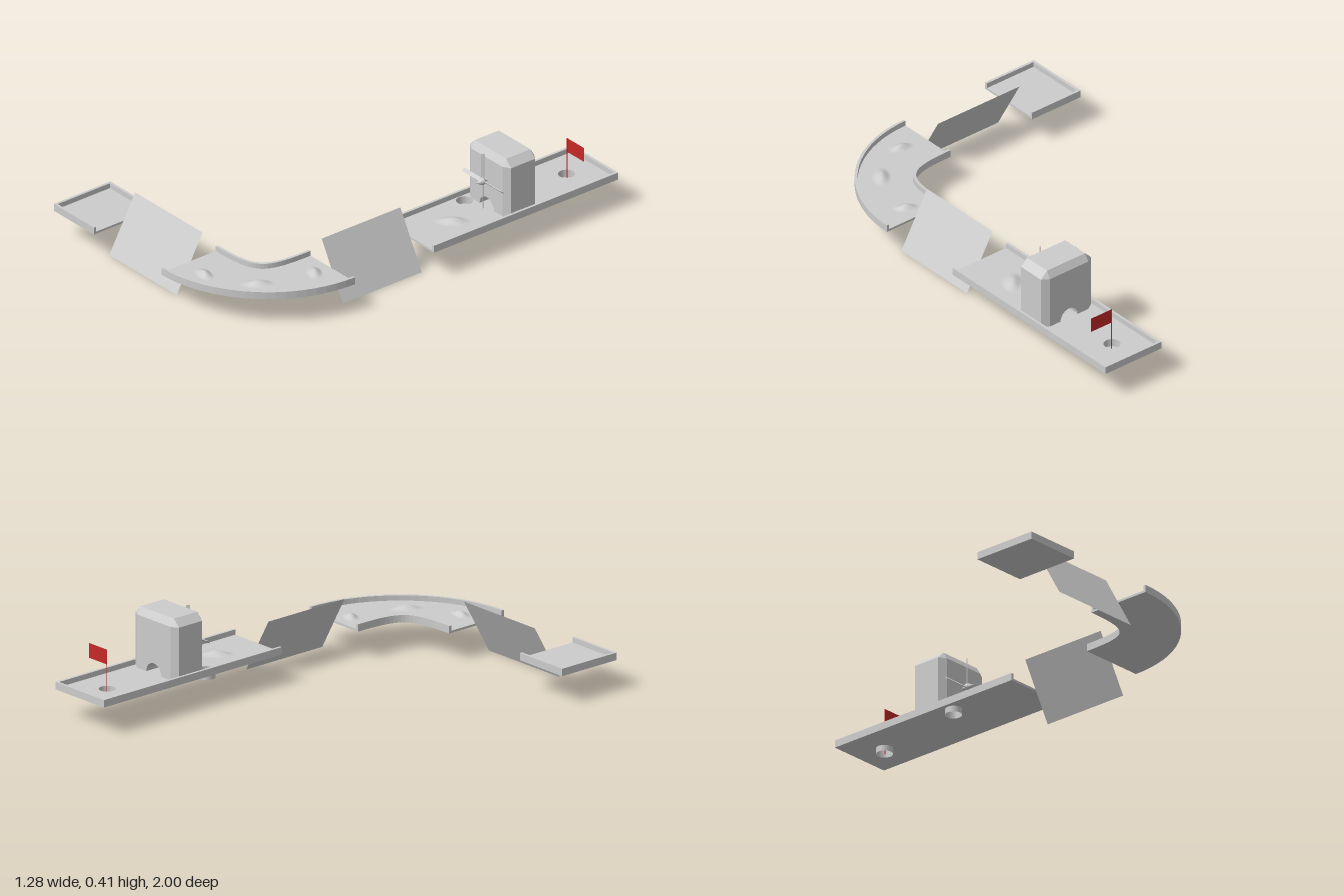
import * as THREE from 'three';
import { mergeGeometries } from 'three/addons/utils/BufferGeometryUtils.js';

const BOTTOM = 0.127, FLOOR = 0.137, RIM = 0.16, WALL = 0.012;

export function createModel() {
  const root = new THREE.Group();
  const stone = new THREE.MeshStandardMaterial({ color: 0xcccccc, flatShading: true });
  stone.name = 'lightGrey';
  const smoothGrey = stone; // one colour throughout the course
  const red = new THREE.MeshStandardMaterial({ color: 0xc62828, side: THREE.DoubleSide });
  red.name = 'flagRed';
  const sheet = new THREE.MeshStandardMaterial({ color: 0xcccccc, side: THREE.DoubleSide });
  sheet.name = 'sheetGrey';

  const add = (name, geo, mat = stone, parent = root) => {
    const m = new THREE.Mesh(geo, mat);
    m.name = name;
    parent.add(m);
    return m;
  };
  // Box given by its limits
  const block = (name, x0, x1, y0, y1, z0, z1) => {
    const m = add(name, new THREE.BoxGeometry(x1 - x0, y1 - y0, z1 - z0));
    m.position.set((x0 + x1) / 2, (y0 + y1) / 2, (z0 + z1) / 2);
    return m;
  };
  // Plan shape (x, z) raised from y0 to y1
  const slab = (name, shape, y0, y1) => {
    const g = new THREE.ExtrudeGeometry(shape, { depth: y1 - y0, bevelEnabled: false, curveSegments: 20 });
    g.rotateX(Math.PI / 2).translate(0, y1, 0);
    return add(name, g);
  };

  // Tee platform, open toward +x
  block('teeFloor', -0.645, -0.38, BOTTOM, FLOOR, 0.69, 0.995);
  block('teeEndWall', -0.645, -0.645 + WALL, BOTTOM, RIM, 0.69, 0.995);
  block('teeBackWall', -0.645 + WALL, -0.38, BOTTOM, RIM, 0.69, 0.69 + WALL);
  block('teeFrontWall', -0.645 + WALL, -0.38, BOTTOM, RIM, 0.995 - WALL, 0.995);

  // Curved platform: every edge is a bend toward a corner (cx, cz)
  const X0 = 0.065, Z0 = 0.42;
  const bandShape = (inner, outer) => {
    const s = new THREE.Shape();
    const [ix, iz, ik] = inner, [ox, oz, ok] = outer;
    s.moveTo(ix, Z0);
    s.bezierCurveTo(ix, Z0 + (iz - Z0) * ik, X0 + (ix - X0) * ik, iz, X0, iz);
    s.lineTo(X0, oz);
    s.bezierCurveTo(X0 + (ox - X0) * ok, oz, ox, Z0 + (oz - Z0) * ok, ox, Z0);
    s.closePath();
    return s;
  };
  const inK = 0.89, outK = 0.552;
  const inEdge = [0.335, 0.69, inK], outEdge = [0.64, 0.995, outK];
  const inLip = [0.335 + WALL, 0.69 + WALL, inK], outLip = [0.64 - WALL, 0.995 - WALL, outK];
  slab('curveFloor', bandShape(inEdge, outEdge), BOTTOM, FLOOR);
  slab('curveInnerWall', bandShape(inEdge, inLip), BOTTOM, RIM);
  slab('curveOuterWall', bandShape(outLip, outEdge), BOTTOM, RIM);

  // Final fairway with two cup holes
  const cups = [[0.48, -0.852], [0.387, -0.378]];
  const cupR = 0.036;
  const fairway = new THREE.Shape([[0.335, -1], [0.64, -1], [0.64, -0.005], [0.335, -0.005]]
    .map(p => new THREE.Vector2(...p)));
  for (const [x, z] of cups) {
    fairway.holes.push(new THREE.Path().absarc(x, z, cupR, 0, Math.PI * 2, true));
  }
  slab('fairwayFloor', fairway, BOTTOM, FLOOR);
  block('fairwayRightWall', 0.335, 0.335 + WALL, BOTTOM, RIM, -1, -0.005);
  block('fairwayLeftWall', 0.64 - WALL, 0.64, BOTTOM, RIM, -1, -0.005);
  block('fairwayEndWall', 0.335 + WALL, 0.64 - WALL, BOTTOM, RIM, -1, -1 + WALL);
  for (const [x, z] of cups) {
    const h = FLOOR - 0.101;
    add('cupWall', new THREE.CylinderGeometry(cupR, cupR, h, 32, 1, true), sheet)
      .position.set(x, 0.101 + h / 2, z);
    add('cupBottom', new THREE.CircleGeometry(cupR, 32).rotateX(-Math.PI / 2))
      .position.set(x, 0.102, z);
  }

  // Smooth mounds on the greens: x, z, half length, half width, heading
  const bump = [];
  for (let i = 0; i <= 10; i++) {
    bump.push(new THREE.Vector2(1 - i / 10, 0.5 - 0.5 * Math.cos(Math.PI * i / 10)));
  }
  const mounds = [[0.19, 0.865, 0.06, 0.035, -0.2], [0.395, 0.745, 0.075, 0.04, 0.9],
    [0.47, 0.5, 0.06, 0.035, -0.5], [0.495, -0.226, 0.08, 0.045, 0.8]];
  for (const [x, z, a, b, turn] of mounds) {
    const m = add('mound', new THREE.LatheGeometry(bump, 28), sheet);
    m.scale.set(a, 0.017, b);
    m.rotation.y = turn;
    m.position.set(x, FLOOR, z);
  }

  // Tilted ramp sheets between the platforms
  const ramp = (name, length) => add(name, new THREE.PlaneGeometry(length, Math.hypot(0.14, 0.25)), sheet);
  const lean = Math.atan2(0.14, 0.25);
  const first = ramp('firstRamp', 0.445);
  first.position.set(-0.158, 0.125, 0.842);
  first.rotation.x = -lean;
  const second = ramp('secondRamp', 0.425);
  second.position.set(0.49, 0.125, 0.208);
  second.rotation.set(-lean, Math.PI / 2, 0, 'YXZ');

  // Windmill house: chamfered block with an arched tunnel
  const mill = new THREE.Group();
  mill.name = 'windmill';
  mill.position.set(0.489, 0, -0.499);
  root.add(mill);
  const arch = [];
  for (let i = 0; i <= 12; i++) {
    const t = Math.PI * (1 - i / 12);
    arch.push([0.047 * Math.cos(t), FLOOR + 0.047 * Math.sin(t)]);
  }
  const W = 0.136, w = 0.104, T = 0.405, t = 0.373;
  const full = [...arch, [W, FLOOR], [W, t], [w, T], [-w, T], [-W, t], [-W, FLOOR]];
  const inset = [...arch, [w, FLOOR], [w, t], [w, t], [-w, t], [-w, t], [-w, FLOOR]];
  const sections = [[inset, -0.085], [full, -0.065], [full, 0.065], [inset, 0.085]];
  const pos = [];
  const n = full.length;
  for (let s = 0; s < 3; s++) {
    const at = (k, i) => [...sections[k][0][i % n], sections[k][1]];
    for (let i = 0; i < n; i++) {
      const a = at(s, i), b = at(s, i + 1), c = at(s + 1, i + 1), d = at(s + 1, i);
      pos.push(...a, ...b, ...c, ...a, ...c, ...d);
    }
  }
  const shell = new THREE.BufferGeometry();
  shell.setAttribute('position', new THREE.Float32BufferAttribute(pos, 3));
  shell.computeVertexNormals();
  const face = new THREE.Shape([...arch, [w, FLOOR], [w, t], [-w, t], [-w, FLOOR]]
    .map(p => new THREE.Vector2(...p)));
  const cap = () => {
    const g = new THREE.ShapeGeometry(face).toNonIndexed().translate(0, 0, 0.085);
    g.deleteAttribute('uv');
    return g;
  };
  add('millHouse', mergeGeometries([shell, cap(), cap().rotateY(Math.PI)]), stone, mill);

  // Four pitched sails around a pointed hub
  const sails = new THREE.Group();
  sails.name = 'sails';
  sails.position.set(-0.001, 0.268, 0.105);
  mill.add(sails);
  for (let i = 0; i < 4; i++) {
    const arm = new THREE.Group();
    arm.name = 'sailArm';
    arm.rotation.z = i * Math.PI / 2;
    sails.add(arm);
    const blade = add('sail', new THREE.BoxGeometry(0.017, 0.122, 0.003), stone, arm);
    blade.position.y = 0.069;
    blade.rotation.y = 0.75;
  }
  const axle = add('axle', new THREE.CylinderGeometry(0.007, 0.007, 0.025, 12), stone, sails);
  axle.rotation.x = Math.PI / 2;
  axle.position.z = -0.01;
  const hub = [[0, -0.008], [0.012, -0.007], [0.017, 0.002], [0.014, 0.012], [0.006, 0.025], [0, 0.038]]
    .map(p => new THREE.Vector2(...p));
  add('hub', new THREE.LatheGeometry(hub, 16), smoothGrey, sails).rotation.x = Math.PI / 2;

  // Flag in the far cup
  add('flagPole', new THREE.CylinderGeometry(0.002, 0.002, 0.208, 8), red).position.set(0.483, 0.206, -0.852);
  add('flag', new THREE.PlaneGeometry(0.112, 0.066), red).position.set(0.539, 0.277, -0.852);

  return root;
}
